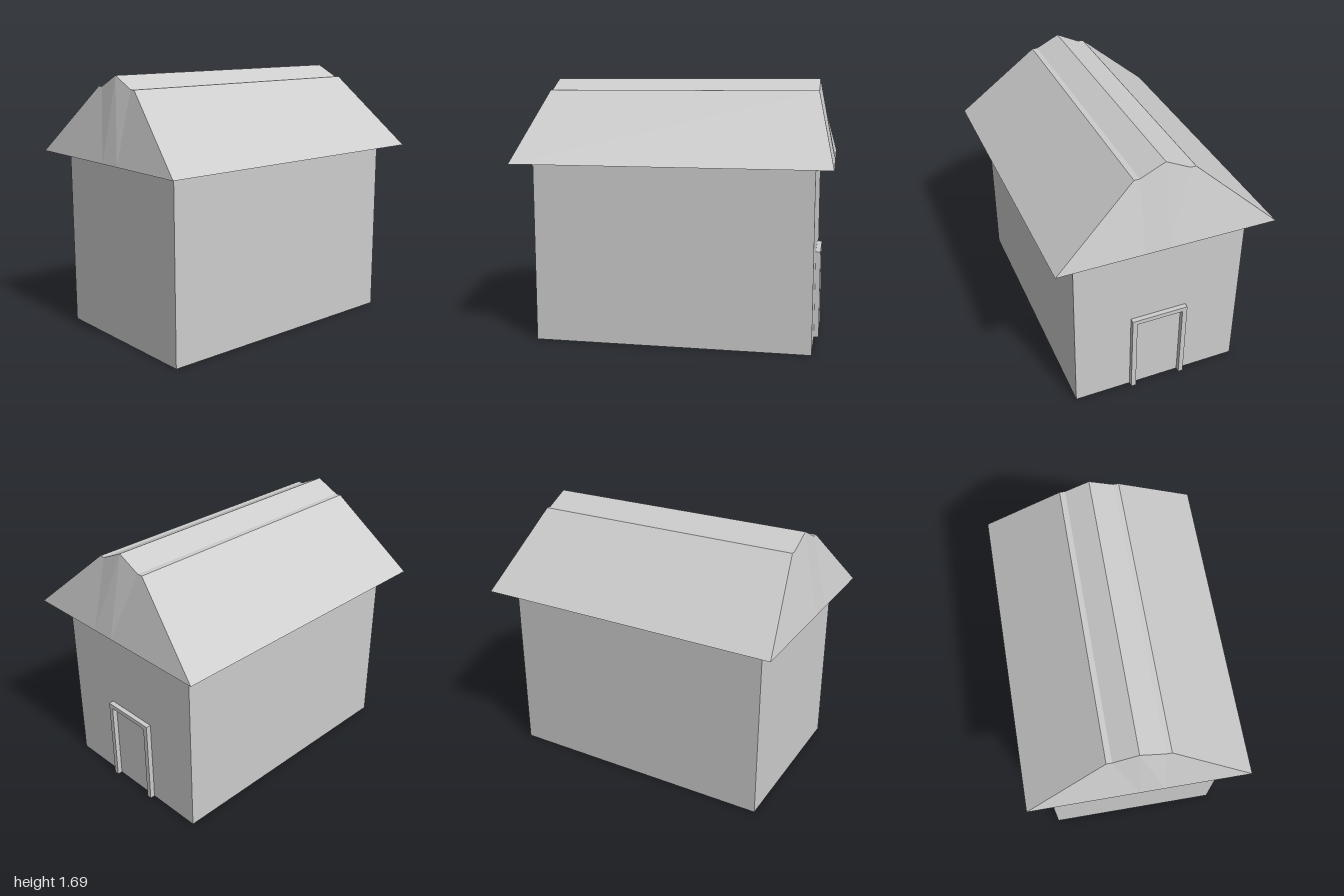
import * as THREE from 'three';

const WALL_X = 0.89, WALL_Z = 0.56, EAVE_Y = 1.165;

// Roof: stepped ridge profile with end faces leaning out to the eaves
function roofGeometry() {
  const half = [[0.7, EAVE_Y], [0.19, 1.615], [0.155, 1.615]];
  const profile = [...half, [0, 1.69], ...half.map(([z, y]) => [-z, y]).reverse()];
  const last = profile.length - 1;
  const top = (i, s) => [s * (i === 0 || i === last ? 1 : WALL_X), profile[i][1], profile[i][0]];
  const eave = (i, s) => [s, EAVE_Y, profile[i][0]];
  const pos = [];
  const tri = (a, b, c) => pos.push(...a, ...b, ...c);
  const quad = (a, b, c, d) => { tri(a, b, c); tri(a, c, d); };

  for (let i = 0; i < last; i++) {
    // slope strip
    quad(top(i, -1), top(i, 1), top(i + 1, 1), top(i + 1, -1));
    // matching strip of both end faces
    if (i < last - 1) {
      tri(eave(i, 1), eave(i + 1, 1), top(i + 1, 1));
      tri(eave(i + 1, -1), eave(i, -1), top(i + 1, -1));
    }
    if (i > 0) {
      tri(eave(i, 1), top(i + 1, 1), top(i, 1));
      tri(eave(i, -1), top(i, -1), top(i + 1, -1));
    }
  }
  // underside
  quad(eave(last, -1), eave(last, 1), eave(0, 1), eave(0, -1));

  const geo = new THREE.BufferGeometry();
  geo.setAttribute('position', new THREE.Float32BufferAttribute(pos, 3));
  geo.computeVertexNormals();
  return geo;
}

function extrude(points, depth) {
  const shape = new THREE.Shape(points.map(([x, y]) => new THREE.Vector2(x, y)));
  return new THREE.ExtrudeGeometry(shape, { depth, bevelEnabled: false });
}

export function createModel() {
  const group = new THREE.Group();
  const grey = new THREE.MeshStandardMaterial({ color: 0xcccccc });
  grey.name = 'plain grey';
  const add = (name, geo) => {
    const mesh = new THREE.Mesh(geo, grey);
    mesh.name = name;
    group.add(mesh);
    return mesh;
  };

  // Main block
  add('walls', new THREE.BoxGeometry(WALL_X * 2, EAVE_Y, WALL_Z * 2)).position.y = EAVE_Y / 2;

  add('roof', roofGeometry());

  // Sloping soffits under the end eaves
  for (const s of [1, -1]) {
    const wedge = [[s * WALL_X, 1.145], [s, EAVE_Y], [s * WALL_X, EAVE_Y]];
    add(s > 0 ? 'leftSoffit' : 'rightSoffit', extrude(wedge, WALL_Z * 2)).position.z = -WALL_Z;
  }

  // Raised door surround on the +x end
  const frame = add('doorFrame', extrude([
    [-0.187, 0], [-0.155, 0], [-0.155, 0.545], [0.155, 0.545],
    [0.155, 0], [0.187, 0], [0.187, 0.575], [-0.187, 0.575],
  ], 0.032));
  frame.rotation.y = Math.PI / 2;
  frame.position.x = WALL_X;

  return group;
}
